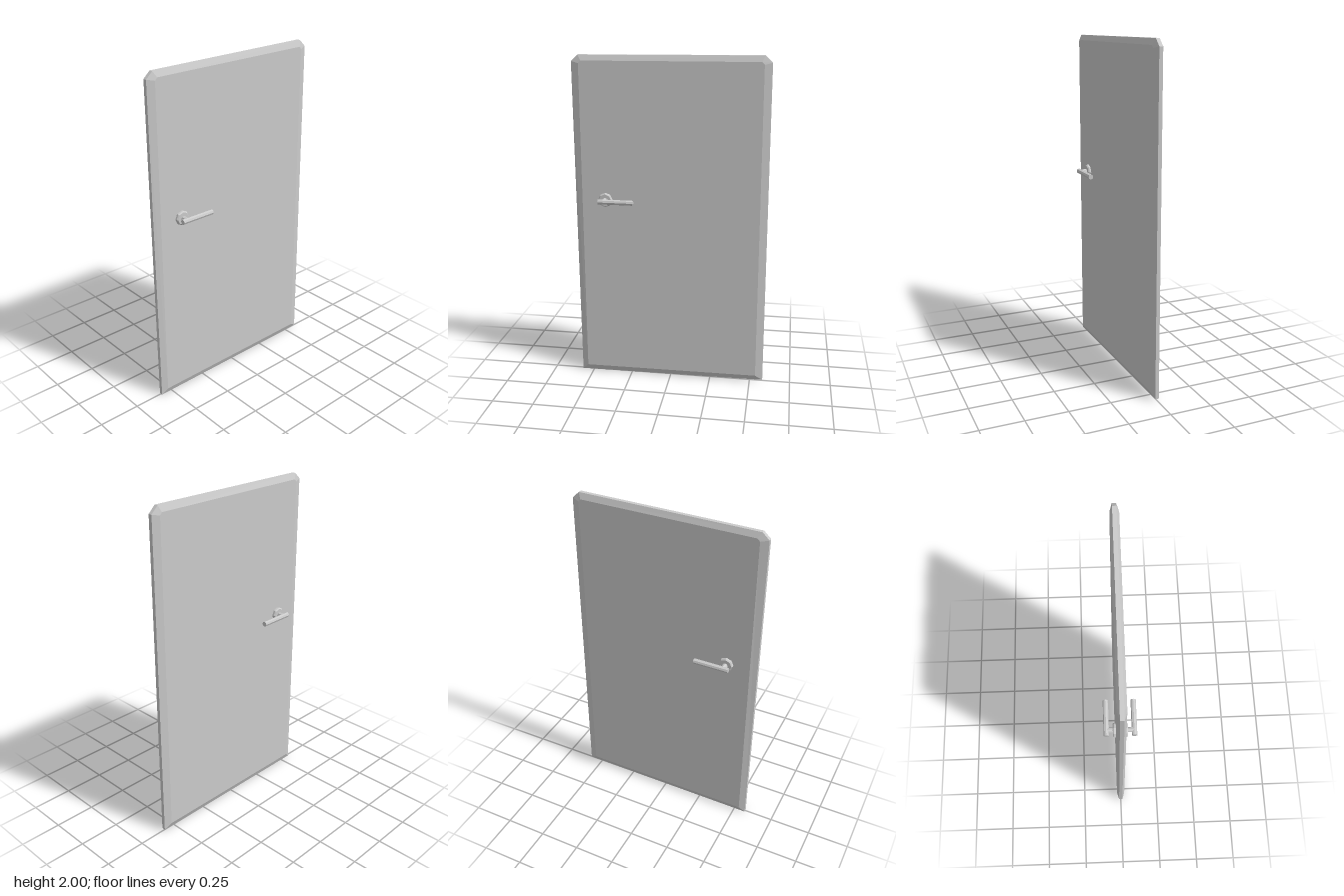
import * as THREE from 'three';

const mat = new THREE.MeshStandardMaterial({ color: 0xcccccc, flatShading: true });

function add(parent, name, geometry) {
  const mesh = new THREE.Mesh(geometry, mat);
  mesh.name = name;
  parent.add(mesh);
  return mesh;
}

// Slab skinned through outline sections from back to front, closed by flat caps
function panelGeometry() {
  const rim = [[-0.572, 0], [0.58, 0.01], [0.572, 1.96], [0.53, 2], [-0.54, 1.992], [-0.58, 1.955]];
  const face = [[-0.535, 0.036], [0.535, 0.042], [0.528, 1.95], [0.515, 1.965], [-0.52, 1.96], [-0.535, 1.945]];
  const sections = [[face, -0.025], [rim, -0.011], [rim, 0.011], [face, 0.025]];
  const n = rim.length, pos = [], idx = [];
  for (const [loop, z] of sections) for (const [x, y] of loop) pos.push(x, y, z);
  for (let s = 0; s < 3; s++) {
    for (let i = 0; i < n; i++) {
      const a = s * n + i, b = s * n + (i + 1) % n;
      idx.push(a, b, b + n, a, b + n, a + n);
    }
  }
  for (let i = 1; i < n - 1; i++) {
    idx.push(0, i + 1, i);
    idx.push(3 * n, 3 * n + i, 3 * n + i + 1);
  }
  const g = new THREE.BufferGeometry();
  g.setAttribute('position', new THREE.Float32BufferAttribute(pos, 3));
  g.setIndex(idx);
  g.computeVertexNormals();
  return g;
}

// Rosette, spindle and lever, pointing along +z from the middle of the door
function createHandle(name) {
  const handle = new THREE.Group();
  handle.name = name;
  const profile = [[0.043, 0.015], [0.043, 0.036], [0.037, 0.043], [0, 0.043]]
    .map(([r, h]) => new THREE.Vector2(r, h));
  add(handle, 'rosette', new THREE.LatheGeometry(profile, 8).rotateX(Math.PI / 2));
  add(handle, 'spindle', new THREE.CylinderGeometry(0.015, 0.015, 0.05, 8)
    .rotateX(Math.PI / 2).translate(0, 0, 0.055));
  add(handle, 'lever', new THREE.CylinderGeometry(0.0155, 0.0155, 0.212, 8)
    .rotateZ(Math.PI / 2).translate(0.072, 0, 0.08));
  return handle;
}

export function createModel() {
  const door = new THREE.Group();
  door.name = 'door';
  add(door, 'doorPanel', panelGeometry());

  // Same handle on both sides, the back one turned about the lever axis
  for (const side of ['front', 'back']) {
    const handle = createHandle(side + 'Handle');
    handle.position.set(-0.393, 1.142, 0);
    if (side === 'back') handle.rotation.x = Math.PI;
    door.add(handle);
  }
  return door;
}
